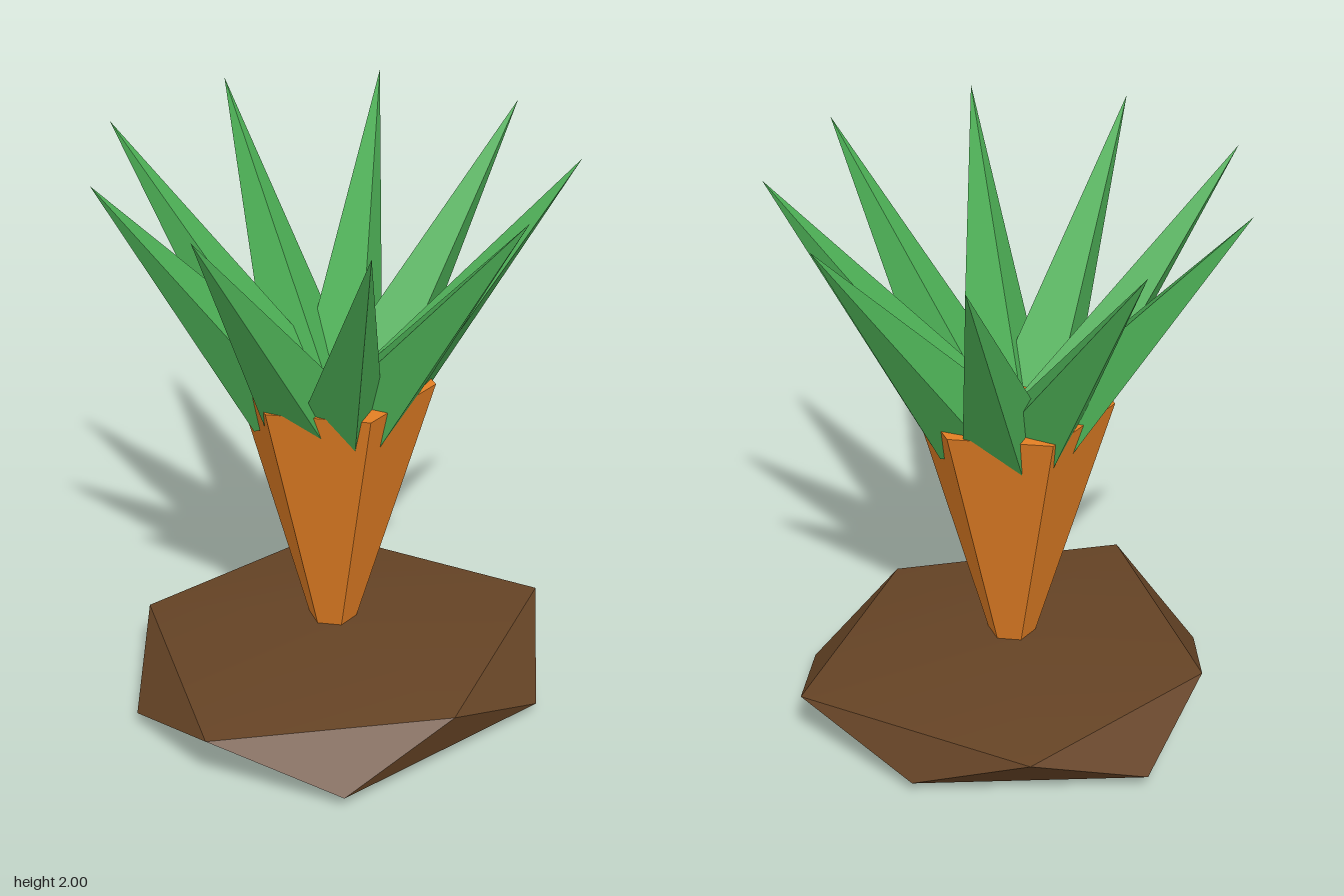
import * as THREE from 'three';
import { toCreasedNormals } from 'three/addons/utils/BufferGeometryUtils.js';

const UP = new THREE.Vector3(0, 1, 0);

// Flattened, irregular twenty-sided clod of earth
function moundGeometry() {
  const ring = (y, points) => points.map(([x, z]) => [x, y, z]);
  const upper = ring(0.21, [[0.775, 0], [0.2, 0.61], [-0.61, 0.445], [-0.545, -0.395], [0.2, -0.635]]);
  const lower = ring(0.05, [[0.585, 0.43], [-0.22, 0.69], [-0.715, 0], [-0.22, -0.655], [0.52, -0.38]]);
  upper[0][1] = 0.22;
  const top = [0, 0.305, 0], bottom = [0, 0, 0];
  const corners = [];
  for (let i = 0; i < 5; i++) {
    const j = (i + 1) % 5;
    corners.push(
      top, upper[j], upper[i],
      upper[i], upper[j], lower[i],
      lower[i], upper[j], lower[j],
      bottom, lower[i], lower[j]
    );
  }
  const geometry = new THREE.BufferGeometry();
  geometry.setAttribute('position', new THREE.Float32BufferAttribute(corners.flat(), 3));
  return toCreasedNormals(geometry, 0.5);
}

export function createModel() {
  const group = new THREE.Group();
  const material = (name, color, flatShading) => {
    const m = new THREE.MeshStandardMaterial({ color, flatShading });
    m.name = name;
    return m;
  };
  const soil = material('soilBrown', 0x654325, false);
  const orange = material('carrotOrange', 0xe37f24, true);
  const green = material('leafGreen', 0x4cae55, true);

  const add = (name, geometry, mat) => {
    const mesh = new THREE.Mesh(geometry, mat);
    mesh.name = name;
    group.add(mesh);
    return mesh;
  };

  add('soilMound', moundGeometry(), soil);

  // Six-sided tapered root, its thin end in the soil
  const rootBottom = 0.295, rootTop = 1.22;
  add('carrotRoot', new THREE.CylinderGeometry(0.34, 0.083, rootTop - rootBottom, 6), orange)
    .position.y = (rootBottom + rootTop) / 2;

  // Crown of nine four-sided spikes leaning outwards
  const leafCount = 9, firstAngle = THREE.MathUtils.degToRad(22.5);
  for (let i = 0; i < leafCount; i++) {
    const angle = firstAngle + (i / leafCount) * Math.PI * 2;
    const at = (r, y) => new THREE.Vector3(Math.cos(angle) * r, y, Math.sin(angle) * r);
    const base = at(0.155, 1.15), tip = at(0.775, 1.997);
    const axis = tip.clone().sub(base);
    const leaf = add('leaf' + (i + 1), new THREE.ConeGeometry(0.147, axis.length(), 4), green);
    leaf.position.copy(base).add(tip).multiplyScalar(0.5);
    leaf.quaternion.setFromUnitVectors(UP, axis.normalize());
  }
  return group;
}
